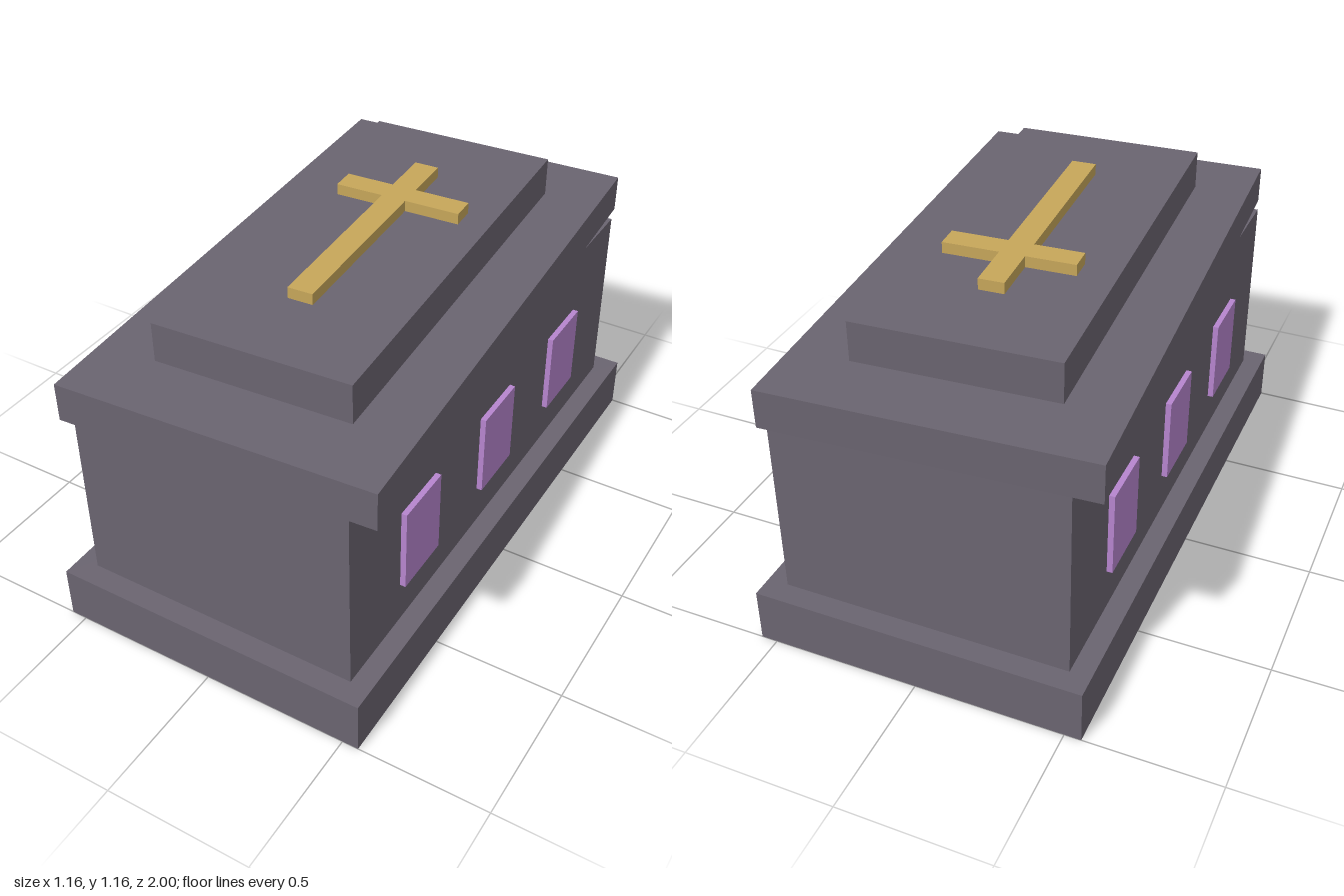
import * as THREE from 'three';

export function createModel() {
  const model = new THREE.Group();
  model.name = 'stoneTomb';

  const mat = (name, color) => {
    const m = new THREE.MeshStandardMaterial({ color });
    m.name = name;
    return m;
  };
  const stone = mat('stone', 0x6a6470);
  const violet = mat('violetPanel', 0xb685ce);
  const gold = mat('gold', 0xc6a65a);

  // Box standing between two heights
  const slab = (parent, name, material, w, y0, y1, l, x = 0, z = 0) => {
    const mesh = new THREE.Mesh(new THREE.BoxGeometry(w, y1 - y0, l), material);
    mesh.name = name;
    mesh.position.set(x, (y0 + y1) / 2, z);
    parent.add(mesh);
    return mesh;
  };

  // Plinth and chest
  slab(model, 'plinth', stone, 1.11, 0, 0.186, 2);
  slab(model, 'chest', stone, 0.97, 0.186, 0.855, 1.85);

  // Three raised panels on each long side
  for (const side of [-1, 1]) {
    for (const z of [-0.52, 0, 0.52]) {
      slab(model, side > 0 ? 'leftPanel' : 'rightPanel', violet,
        0.04, 0.335, 0.63, 0.215, side * 0.484, z);
    }
  }

  // Lid, pushed slightly askew
  const lid = new THREE.Group();
  lid.name = 'lid';
  lid.rotation.y = 0.06;
  model.add(lid);
  slab(lid, 'lidSlab', stone, 1.05, 0.855, 0.985, 1.94);
  slab(lid, 'lidTopStep', stone, 0.662, 0.985, 1.12, 1.478);

  // Cross lying on the lid, head towards the back
  const p = 0.0425, foot = -0.442, head = 0.442;
  const barL = -0.209, barR = 0.233, barLow = 0.184, barHigh = 0.266;
  const outline = [
    [-p, foot], [p, foot], [p, barLow], [barR, barLow], [barR, barHigh], [p, barHigh],
    [p, head], [-p, head], [-p, barHigh], [barL, barHigh], [barL, barLow], [-p, barLow],
  ].map(([x, y]) => new THREE.Vector2(x, y));
  const crossGeo = new THREE.ExtrudeGeometry(new THREE.Shape(outline), { depth: 0.038, bevelEnabled: false });
  crossGeo.rotateX(-Math.PI / 2);
  const cross = new THREE.Mesh(crossGeo, gold);
  cross.name = 'cross';
  cross.position.y = 1.12;
  lid.add(cross);

  return model;
}
